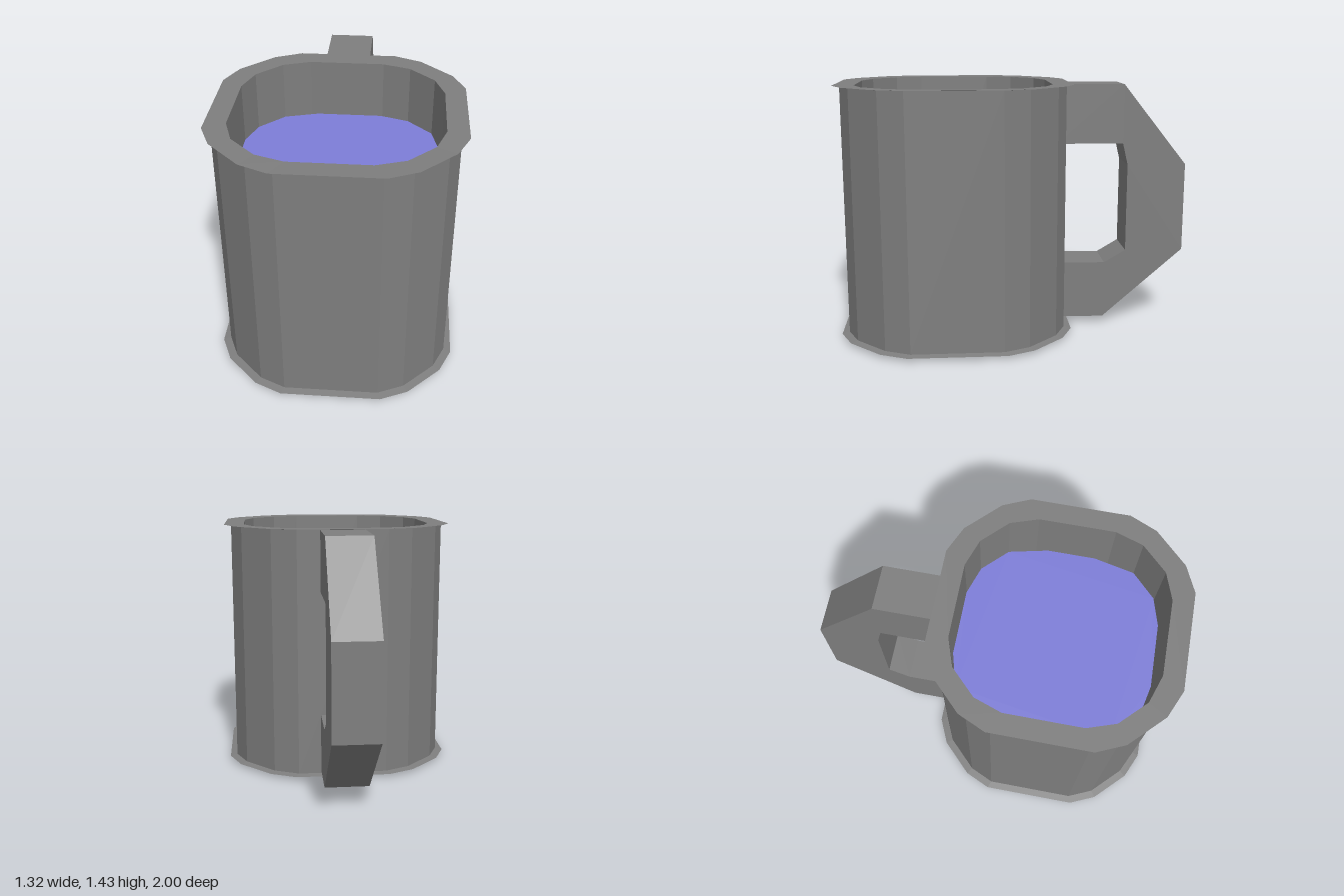
import * as THREE from 'three';

const CENTRE_Z = 0.34;

// Sixteen-sided rounded squares of unit half width: a quarter, then turned
const OUTER = [[0.41, 1], [0.635, 0.9], [0.9, 0.635], [1, 0.41]];
const INNER = [[0.38, 1], [0.657, 0.905], [0.905, 0.657], [1, 0.38]];

// One horizontal ring of corners
function ring(quarter, r, y) {
  const points = [];
  for (let q = 0; q < 4; q++) {
    for (const [x, z] of quarter) {
      const [px, pz] = [[x, z], [z, -x], [-x, -z], [-z, x]][q];
      points.push([px * r, y, pz * r]);
    }
  }
  return points;
}

// Join successive rings with flat faces
function loft(rings) {
  const pos = [];
  for (let k = 0; k < rings.length - 1; k++) {
    const lo = rings[k], hi = rings[k + 1];
    for (let i = 0; i < lo.length; i++) {
      const j = (i + 1) % lo.length;
      pos.push(...lo[i], ...lo[j], ...hi[j], ...lo[i], ...hi[j], ...hi[i]);
    }
  }
  const geometry = new THREE.BufferGeometry();
  geometry.setAttribute('position', new THREE.Float32BufferAttribute(pos, 3));
  geometry.computeVertexNormals();
  return geometry;
}

function shapeOf(points) {
  return new THREE.Shape(points.map(([x, y]) => new THREE.Vector2(x, y)));
}

export function createModel() {
  const group = new THREE.Group();
  const grey = new THREE.MeshStandardMaterial({ color: 0x7e7e7e, flatShading: true, side: THREE.DoubleSide });
  const blue = new THREE.MeshStandardMaterial({ color: 0x7d7dd8, flatShading: true, side: THREE.DoubleSide });

  const add = (name, geometry, material, z = 0) => {
    const mesh = new THREE.Mesh(geometry, material);
    mesh.name = name;
    mesh.position.z = z;
    group.add(mesh);
  };

  // Outer wall, and inner wall with its floor
  add('outerWall', loft([ring(OUTER, 0.62, 0.026), ring(OUTER, 0.62, 1.43)]), grey, CENTRE_Z);
  add('innerWall', loft([ring(INNER, 0.548, 1.43), ring(INNER, 0.548, 0.1), ring(INNER, 0.01, 0.1)]), grey, CENTRE_Z);

  // Thin overhanging lip, very slightly raised at its edge
  add('rim', loft([ring(OUTER, 0.62, 1.43), ring(OUTER, 0.66, 1.434), ring(INNER, 0.548, 1.432)]), grey, CENTRE_Z);

  // Thin base plate, bulging slightly downwards
  add('base', loft([
    ring(OUTER, 0.001, 0), ring(OUTER, 0.27, 0.003), ring(OUTER, 0.62, 0.018),
    ring(OUTER, 0.66, 0.02), ring(OUTER, 0.62, 0.026),
  ]), grey, CENTRE_Z);

  // Drink surface, slightly uneven around its edge
  const liquid = new THREE.ShapeGeometry(shapeOf([
    [-0.16, 0.88], [0.2, 0.875], [0.36, 0.83], [0.495, 0.7], [0.545, 0.47], [0.545, 0.2],
    [0.495, -0.02], [0.36, -0.155], [0.2, -0.208], [-0.17, -0.208], [-0.36, -0.155],
    [-0.495, -0.02], [-0.548, 0.13], [-0.548, 0.55], [-0.495, 0.7], [-0.36, 0.835],
  ].map(([x, z]) => [x, -z])));
  liquid.rotateX(-Math.PI / 2);
  liquid.translate(0, 1.1, 0);
  add('liquid', liquid, blue);

  // Angular handle, drawn as distance behind the centre and height
  const handle = new THREE.ExtrudeGeometry(shapeOf([
    [0.25, 0.042], [0.53, 0.037], [1, 0.447], [1, 0.96], [0.63, 1.425], [0.25, 1.427],
    [0.25, 1.086], [0.63, 1.086], [0.66, 0.96], [0.66, 0.447], [0.535, 0.373], [0.25, 0.377],
  ]), { depth: 0.25, bevelEnabled: false });
  handle.translate(0, 0, -0.125);
  handle.rotateY(Math.PI / 2);
  add('handle', handle, grey);

  return group;
}
